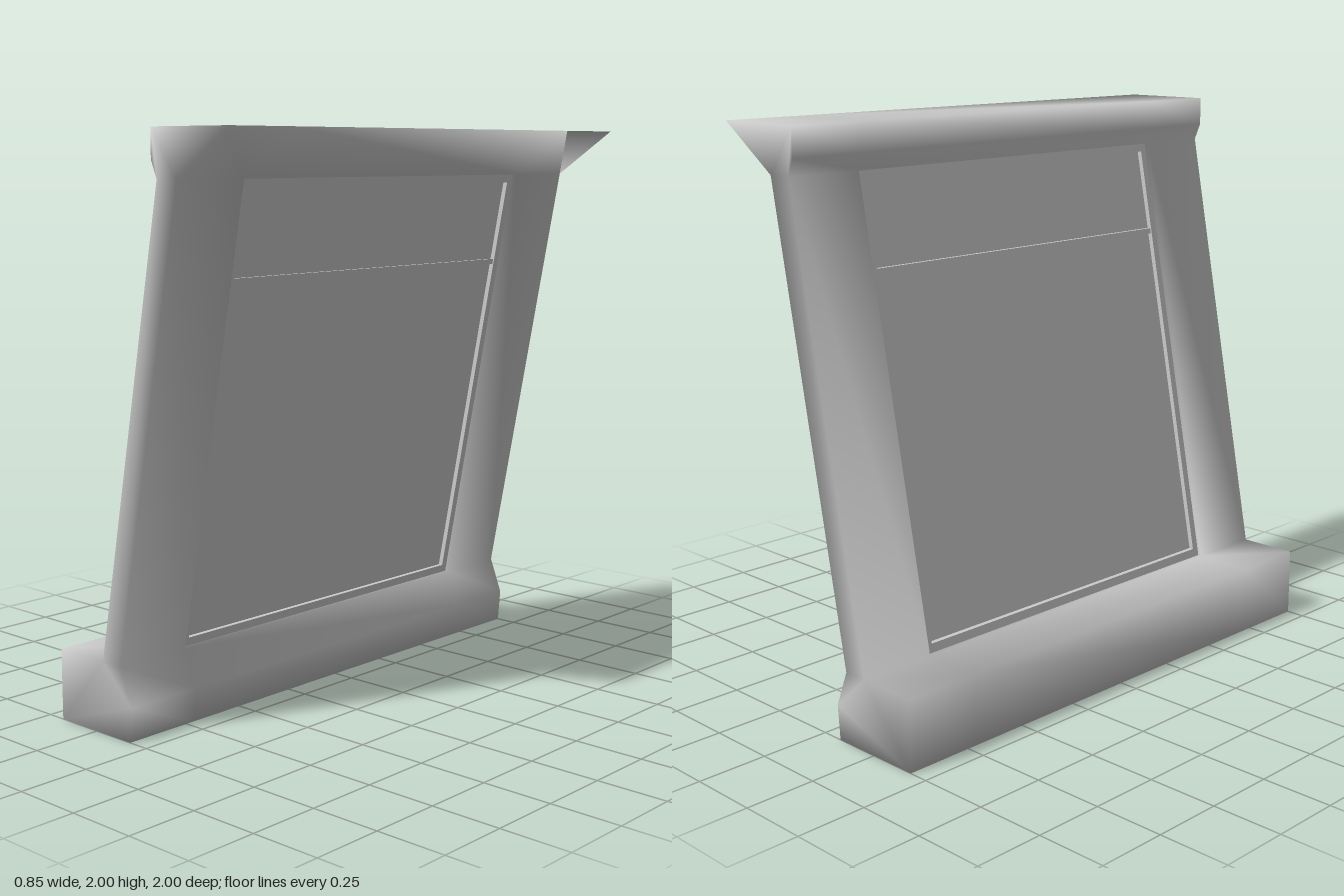
import * as THREE from 'three';

const material = new THREE.MeshStandardMaterial({ color: 0xcccccc });
const OPEN = 0.715; // half width of the opening

// Side outline (x, y): sill, slanted jamb, header
const outline = [
  [-0.43, 0], [-0.08, 0], [-0.07, 0.12], [-0.12, 0.25], [0.19, 1.84],
  [0.42, 2], [0.075, 2], [0.075, 1.9], [0.1, 1.84], [-0.21, 0.25], [-0.43, 0.25],
];

// Softly shaded surround: the outline swept along z with an opening cut through it
function surroundGeometry() {
  const n = outline.length;
  const stations = [-1, -OPEN, OPEN, 1];
  const positions = stations.flatMap((z) => outline.flatMap(([x, y]) => [x, y, z]));
  const index = [];
  const quad = (a, b, c, d) => index.push(a, b, c, a, c, d);
  const strip = (band, i, j) =>
    quad(band * n + i, band * n + j, (band + 1) * n + j, (band + 1) * n + i);

  for (let band = 0; band < 3; band++) {
    for (let i = 0; i < n; i++) {
      if (band === 1 && (i === 3 || i === 8)) continue; // opening
      // outline runs counter-clockwise, so this order faces outward
      strip(band, i, (i + 1) % n);
    }
  }
  // Sill top and header underside within the opening
  strip(1, 3, 9);
  strip(1, 8, 4);
  // Jamb faces inside the opening
  quad(n + 3, n + 4, n + 8, n + 9);
  quad(2 * n + 9, 2 * n + 8, 2 * n + 4, 2 * n + 3);
  // End caps
  const caps = THREE.ShapeUtils.triangulateShape(
    outline.map(([x, y]) => new THREE.Vector2(x, y)), []);
  for (const [a, b, c] of caps) {
    index.push(c, b, a, 3 * n + a, 3 * n + b, 3 * n + c);
  }

  const geometry = new THREE.BufferGeometry();
  geometry.setAttribute('position', new THREE.Float32BufferAttribute(positions, 3));
  geometry.setIndex(index);
  geometry.computeVertexNormals();
  return geometry;
}

// Box leaning with the jambs
function leaningBox(name, y0, y1, z0, z1, depth) {
  const geometry = new THREE.BoxGeometry(depth, y1 - y0, z1 - z0);
  geometry.translate(0, (y0 + y1) / 2, (z0 + z1) / 2);
  const p = geometry.attributes.position;
  for (let i = 0; i < p.count; i++) {
    p.setX(i, p.getX(i) - 0.165 + 0.195 * (p.getY(i) - 0.25));
  }
  geometry.computeVertexNormals();
  const mesh = new THREE.Mesh(geometry, material);
  mesh.name = name;
  return mesh;
}

export function createModel() {
  const model = new THREE.Group();
  model.name = 'slantedWindow';

  const surround = new THREE.Mesh(surroundGeometry(), material);
  surround.name = 'surround';
  model.add(surround);

  // Slim inner frame around the glass
  const sash = new THREE.Group();
  sash.name = 'innerFrame';
  sash.add(
    leaningBox('bottomRail', 0.25, 0.28, -OPEN, OPEN, 0.06),
    leaningBox('topRail', 1.81, 1.84, -OPEN, OPEN, 0.06),
    leaningBox('backStile', 0.28, 1.81, -OPEN, -0.688, 0.06),
    leaningBox('frontStile', 0.28, 1.81, 0.688, OPEN, 0.06),
    leaningBox('crossBar', 1.5, 1.52, -0.688, 0.688, 0.05),
  );
  model.add(sash);

  // Lower and upper panes
  model.add(
    leaningBox('lowerPane', 0.28, 1.5, -0.688, 0.688, 0.025),
    leaningBox('upperPane', 1.52, 1.81, -0.688, 0.688, 0.025),
  );
  return model;
}
